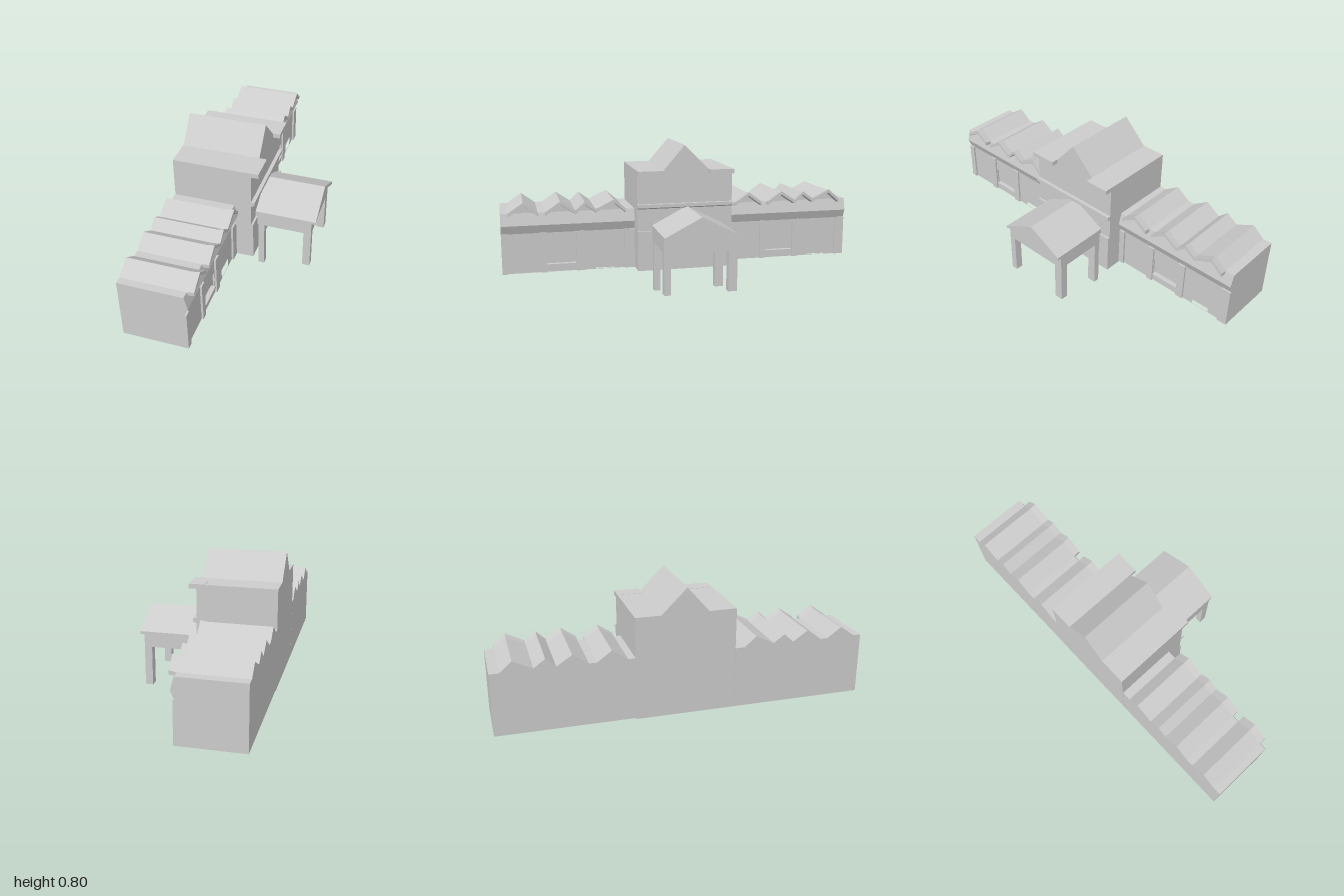
import * as THREE from 'three';

const grey = new THREE.MeshStandardMaterial({ color: 0xcccccc, flatShading: true });

function mesh(name, geometry) {
  const m = new THREE.Mesh(geometry, grey);
  m.name = name;
  return m;
}

// Box given by its extents on each axis
function box(name, x0, x1, y0, y1, z0, z1) {
  const g = new THREE.BoxGeometry(x1 - x0, y1 - y0, z1 - z0);
  return mesh(name, g.translate((x0 + x1) / 2, (y0 + y1) / 2, (z0 + z1) / 2));
}

// Outline of [z, y] points extruded along x
const outline = (pts) => pts.map(([z, y]) => new THREE.Vector2(-z, y));
function extrudeX(name, pts, x0, x1, holes = []) {
  const shape = new THREE.Shape(outline(pts));
  holes.forEach((h) => shape.holes.push(new THREE.Path(outline(h))));
  const g = new THREE.ExtrudeGeometry(shape, { depth: x1 - x0, bevelEnabled: false });
  return mesh(name, g.rotateY(Math.PI / 2).translate(x0, 0, 0));
}

// Outline of [x, y] points extruded along z
function extrudeZ(name, pts, z0, z1) {
  const shape = new THREE.Shape(pts.map(([x, y]) => new THREE.Vector2(x, y)));
  const g = new THREE.ExtrudeGeometry(shape, { depth: z1 - z0, bevelEnabled: false });
  return mesh(name, g.translate(0, 0, z0));
}

const rect = (z0, z1, y0, y1) => [[z0, y0], [z1, y0], [z1, y1], [z0, y1]];

function createWing(name) {
  const wing = new THREE.Group();
  wing.name = name;
  const base = 0.107, eave = 0.443;
  const ridges = [
    [[0.32, 0.443], [0.384, 0.499], [0.485, 0.449], [0.545, 0.493], [0.597, 0.445], [0.678, 0.499], [0.76, 0.443]],
    [[0.8, 0.443], [0.877, 0.499], [0.96, 0.443]],
  ];

  // Body with the folded roof line
  wing.add(extrudeX('wingBody',
    [[0.27, base], [0.27, eave], ...ridges[0], ...ridges[1], [1, eave], [1, base]], -0.385, -0.072));
  wing.add(extrudeX('wingGables',
    [[0.27, 0.43], [0.27, eave], ...ridges[0], ...ridges[1], [1, eave], [1, 0.43]], -0.072, -0.046));

  // Front wall with recessed window and door
  wing.add(extrudeX('frontWall', rect(0.27, 1, base, 0.335), -0.072, -0.049, [
    rect(0.6, 0.758, 0.15, 0.247),
    rect(0.39, 0.49, base + 0.002, 0.245),
  ]));
  wing.add(box('windowSill', -0.07, -0.044, 0.14, 0.15, 0.597, 0.76));

  // Pilasters
  [[0.27, 0.325], [0.552, 0.595], [0.76, 0.797], [0.965, 1]].forEach(([z0, z1]) =>
    wing.add(box('pilaster', -0.06, -0.038, base, 0.33, z0, z1)));

  // Canted cornice
  wing.add(extrudeZ('cornice',
    [[-0.072, 0.329], [-0.048, 0.329], [-0.028, 0.376], [-0.046, eave], [-0.072, eave]], 0.27, 1));

  // Zigzag roof overhang, tipped slightly upward
  for (const ridge of ridges) {
    const under = ridge.map(([z, y]) => [z, y - 0.02]).reverse();
    const eaves = extrudeX('roofOverhang', [...ridge, ...under], -0.047, -0.008);
    const p = eaves.geometry.attributes.position;
    for (let i = 0; i < p.count; i++) p.setY(i, p.getY(i) + (p.getX(i) + 0.047) * 0.18);
    eaves.geometry.computeVertexNormals();
    wing.add(eaves);
  }
  return wing;
}

function createHall() {
  const hall = new THREE.Group();
  hall.name = 'centralHall';
  // Tall block with a steep central gable
  hall.add(extrudeX('hallBody', [
    [0.268, 0.107], [0.268, 0.665], [0.118, 0.665], [0, 0.8], [-0.136, 0.665], [-0.272, 0.665], [-0.272, 0.107],
  ], -0.385, 0.046));
  hall.add(box('lowerFacade', 0.03, 0.058, 0.107, 0.33, -0.272, 0.268));
  hall.add(extrudeZ('stringCourse',
    [[0.03, 0.453], [0.05, 0.453], [0.066, 0.461], [0.066, 0.48], [0.03, 0.48]], -0.272, 0.268));
  // Flat eaves either side of the gable
  hall.add(box('eaveSlab', 0, 0.087, 0.641, 0.666, 0.118, 0.268));
  hall.add(box('eaveSlab', 0, 0.087, 0.641, 0.666, -0.272, -0.136));
  hall.add(box('entranceLintel', 0.05, 0.062, 0.238, 0.275, -0.162, 0.152));
  return hall;
}

function createPorch() {
  const porch = new THREE.Group();
  porch.name = 'porch';
  const mid = -0.012;
  // Solid gabled upper part
  porch.add(extrudeX('porchGable',
    [[0.186, 0.273], [0.186, 0.345], [mid, 0.445], [-0.21, 0.345], [-0.21, 0.273]], 0.046, 0.36));
  // Pitched roof sheet projecting at the front
  porch.add(extrudeX('porchRoof',
    [[0.186, 0.344], [0.186, 0.36], [mid, 0.462], [-0.21, 0.36], [-0.21, 0.344], [mid, 0.436]], 0.046, 0.383));
  // Posts
  [[0.151, 0.186], [-0.21, -0.162]].forEach(([z0, z1]) => {
    porch.add(box('rearPost', 0.063, 0.096, 0, 0.28, z0, z1));
    porch.add(box('frontPost', 0.318, 0.36, 0.049, 0.28, z0, z1));
  });
  return porch;
}

export function createModel() {
  const model = new THREE.Group();
  model.name = 'building';
  const farWing = createWing('rightWing');
  farWing.position.set(0, 0.007, -1.27);
  model.add(createWing('leftWing'), farWing, createHall(), createPorch());
  return model;
}
